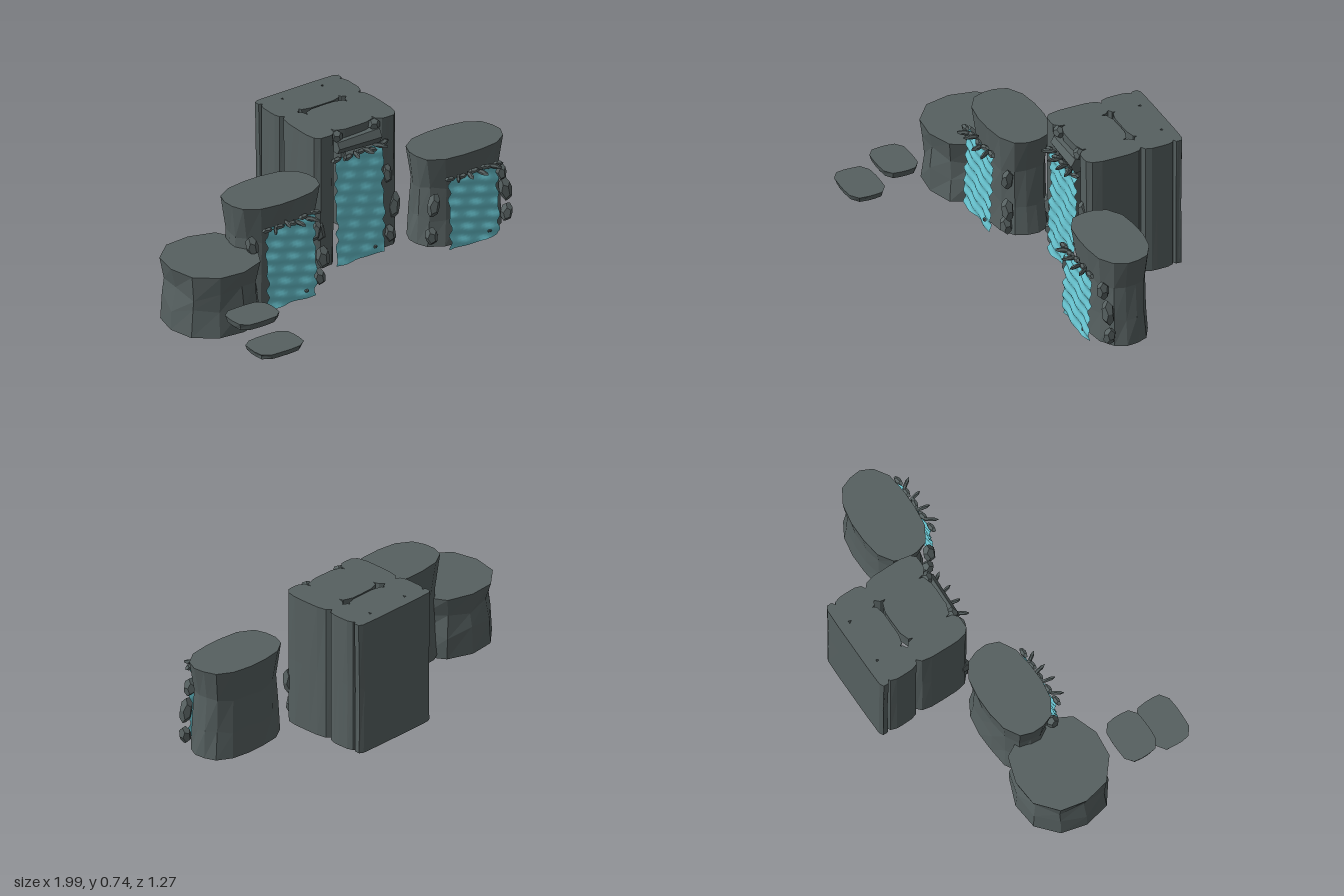
import * as THREE from 'three';

const rockMat = new THREE.MeshStandardMaterial({ color: 0x566060, flatShading: true });
rockMat.name = 'slate rock';
const waterMat = new THREE.MeshStandardMaterial({ color: 0x67c3cf, side: THREE.DoubleSide });
waterMat.name = 'water';

// Small seeded random generator
let seed = 7;
const rnd = () => (seed = (seed * 16807) % 2147483647) / 2147483647;
const jit = (a) => (rnd() - 0.5) * 2 * a;

// Stack of superellipse rings; levels = [y, scaleX, scaleZ]
function rockStack(cx, cz, rx, rz, levels, { n = 14, power = 2.6, rough = 0.04 } = {}) {
  const rings = levels.map(([y, sx, sz], k) => {
    const edge = k === 0 || k === levels.length - 1;
    return Array.from({ length: n }, (_, i) => {
      const a = ((i + 0.5) / n) * Math.PI * 2;
      const c = Math.cos(a), s = Math.sin(a);
      const r = Math.pow(Math.abs(c) ** power + Math.abs(s) ** power, -1 / power) * (1 + jit(edge ? rough * 0.4 : rough));
      return new THREE.Vector3(cx + c * r * rx * sx, y + (edge ? 0 : jit(rough * 0.5)), cz + s * r * rz * sz);
    });
  });
  const pts = [];
  const top = rings[rings.length - 1], bottom = rings[0];
  const ct = new THREE.Vector3(cx, levels[levels.length - 1][0], cz);
  const cb = new THREE.Vector3(cx, levels[0][0], cz);
  for (let i = 0; i < n; i++) {
    const j = (i + 1) % n;
    for (let k = 0; k + 1 < rings.length; k++) {
      const a = rings[k][i], b = rings[k][j], c = rings[k + 1][i], d = rings[k + 1][j];
      pts.push(a, c, b, b, c, d);
    }
    pts.push(ct, top[j], top[i], cb, bottom[i], bottom[j]);
  }
  const g = new THREE.BufferGeometry().setFromPoints(pts);
  g.computeVertexNormals();
  return g;
}

export function createModel() {
  const model = new THREE.Group();
  model.name = 'waterfallRocks';
  const add = (name, geo, mat = rockMat, parent = model) => {
    const m = new THREE.Mesh(geo, mat);
    m.name = name;
    parent.add(m);
    return m;
  };
  const boulder = (parent, x, y, z, sx, sy, sz, tilt = 0) => {
    const m = add('boulder', new THREE.DodecahedronGeometry(1, 0), rockMat, parent);
    m.position.set(x, y, z);
    m.scale.set(sx, sy, sz);
    m.rotation.set(0, 0, tilt);
    return m;
  };

  // Low boulder
  add('lowBoulder', rockStack(-0.76, -0.05, 0.24, 0.24,
    [[0, 1, 0.98], [0.12, 0.95, 0.95], [0.22, 0.9, 0.94], [0.33, 1, 1]],
    { n: 11, power: 2.3, rough: 0.06 }));

  // Stepping stones
  [[-0.795, 0.53, 0.135, 0.1, 0.075, 0.105], [-0.795, 0.345, 0.125, 0.097, 0.155, 0.19]].forEach(
    ([x, z, rx, rz, y0, y1]) => add('steppingStone', rockStack(x, z, rx, rz,
      [[y0, 0.92, 0.88], [y0 + 0.01, 0.94, 0.92], [y1, 1, 1]], { n: 16, power: 4, rough: 0.02 })));

  // Oval rocks behind the outer falls
  const oval = (name, cx, h) => add(name, rockStack(cx, -0.087, 0.255, 0.153,
    [[0.02, 0.98, 0.95], [0.02 + h * 0.3, 0.92, 0.88], [0.02 + h * 0.65, 0.88, 0.86], [0.02 + h, 1, 1]],
    { n: 16, power: 2.7, rough: 0.035 }));
  oval('leftFallRock', -0.375, 0.54);
  oval('rightFallRock', 0.735, 0.48);

  // Tall hollow tower: back slab, side pillars and capstones
  const tower = new THREE.Group();
  tower.name = 'tallTower';
  model.add(tower);
  const wall = (y0) => [[y0, 0.98, 0.98], [(y0 + 0.73) / 2, 0.97, 0.98], [0.73, 1, 1]];
  add('backSlab', rockStack(0.175, -0.61, 0.25, 0.028, wall(0.02), { n: 20, power: 8, rough: 0.012 }), rockMat, tower);
  [[-0.505, 0.09], [-0.27, 0.152]].forEach(([z, rz]) => {
    [-0.01, 0.36].forEach((x) =>
      add('sidePillar', rockStack(x, z, 0.07, rz, wall(0.02), { n: 20, power: 4, rough: 0.02 }), rockMat, tower));
    add('capstone', rockStack(0.175, z, 0.13, rz * (z < -0.4 ? 1 : 0.9), wall(0.61), { n: 20, power: 5, rough: 0.012 }), rockMat, tower);
  });
  // Lintel under the tower rim
  const lintel = add('lintel', new THREE.CylinderGeometry(0.035, 0.045, 0.25, 6), rockMat, tower);
  lintel.rotation.z = Math.PI / 2;
  lintel.position.set(0.175, 0.65, -0.13);
  [0.06, 0.285].forEach((x) => boulder(tower, x, 0.705, -0.135, 0.033, 0.033, 0.03, 0.3));

  // Falls: rippled sheet, lip stones and boulders on each flank
  const fall = (name, cx, topY, z, w) => {
    const group = new THREE.Group();
    group.name = name;
    model.add(group);
    const h = topY - 0.02;
    const sheet = new THREE.PlaneGeometry(w, h, 16, 40);
    const p = sheet.attributes.position;
    for (let i = 0; i < p.count; i++) {
      const x = p.getX(i), y = p.getY(i);
      p.setZ(i, 0.006 * Math.sin(y * 95 + x * 25) + 0.004 * Math.sin(x * 45 - y * 20) - y * 0.03);
      if (Math.abs(x) > w / 2 - 0.001) p.setX(i, x + 0.006 * Math.sin(y * 70));
    }
    sheet.computeVertexNormals();
    add('waterSheet', sheet, waterMat, group).position.set(cx, topY - h / 2, z);

    // Flat stones fanned along the lip
    for (let i = 0; i < 9; i++) {
      const t = i / 8 - 0.5;
      const fan = i % 2 === 1;
      const s = boulder(group, cx + t * w, topY + 0.002 + jit(0.012), z + (fan ? 0.02 : 0),
        fan ? 0.01 : 0.032, 0.014, fan ? 0.042 : 0.016, jit(0.25));
      s.rotation.y = fan ? t * 1.6 : jit(0.3);
    }
    // Pebble at the foot
    boulder(group, cx + w * 0.3, 0.06, z + 0.008, 0.013, 0.009, 0.01);
    return group;
  };
  const left = fall('leftFall', -0.375, 0.46, 0.09, 0.29);
  const middle = fall('middleFall', 0.175, 0.6, -0.098, 0.285);
  const right = fall('rightFall', 0.725, 0.4, 0.09, 0.29);

  // Flank boulders: [x, y, width, height, tilt]
  const flank = (group, z, list) => list.forEach(([x, y, sx, sy, t]) =>
    boulder(group, x, y, z + jit(0.01), sx, sy, 0.033, t));
  flank(left, 0.035, [[-0.15, 0.18, 0.036, 0.065, 0.1], [-0.185, 0.33, 0.028, 0.06, -0.2],
    [-0.17, 0.08, 0.03, 0.05, 0.2], [-0.57, 0.36, 0.032, 0.06, 0.2], [-0.58, 0.2, 0.032, 0.06, -0.1]]);
  flank(middle, -0.13, [[-0.045, 0.22, 0.034, 0.07, 0.2], [-0.03, 0.1, 0.028, 0.04, -0.2],
    [0.4, 0.23, 0.034, 0.075, -0.1], [0.37, 0.09, 0.03, 0.05, 0.2], [0.355, 0.42, 0.026, 0.06, 0.1]]);
  flank(right, 0.035, [[0.52, 0.26, 0.032, 0.065, -0.2], [0.515, 0.09, 0.032, 0.05, 0.1],
    [0.955, 0.22, 0.034, 0.07, 0.2], [0.965, 0.09, 0.03, 0.05, -0.2], [0.92, 0.33, 0.026, 0.05, 0.1]]);
  return model;
}
